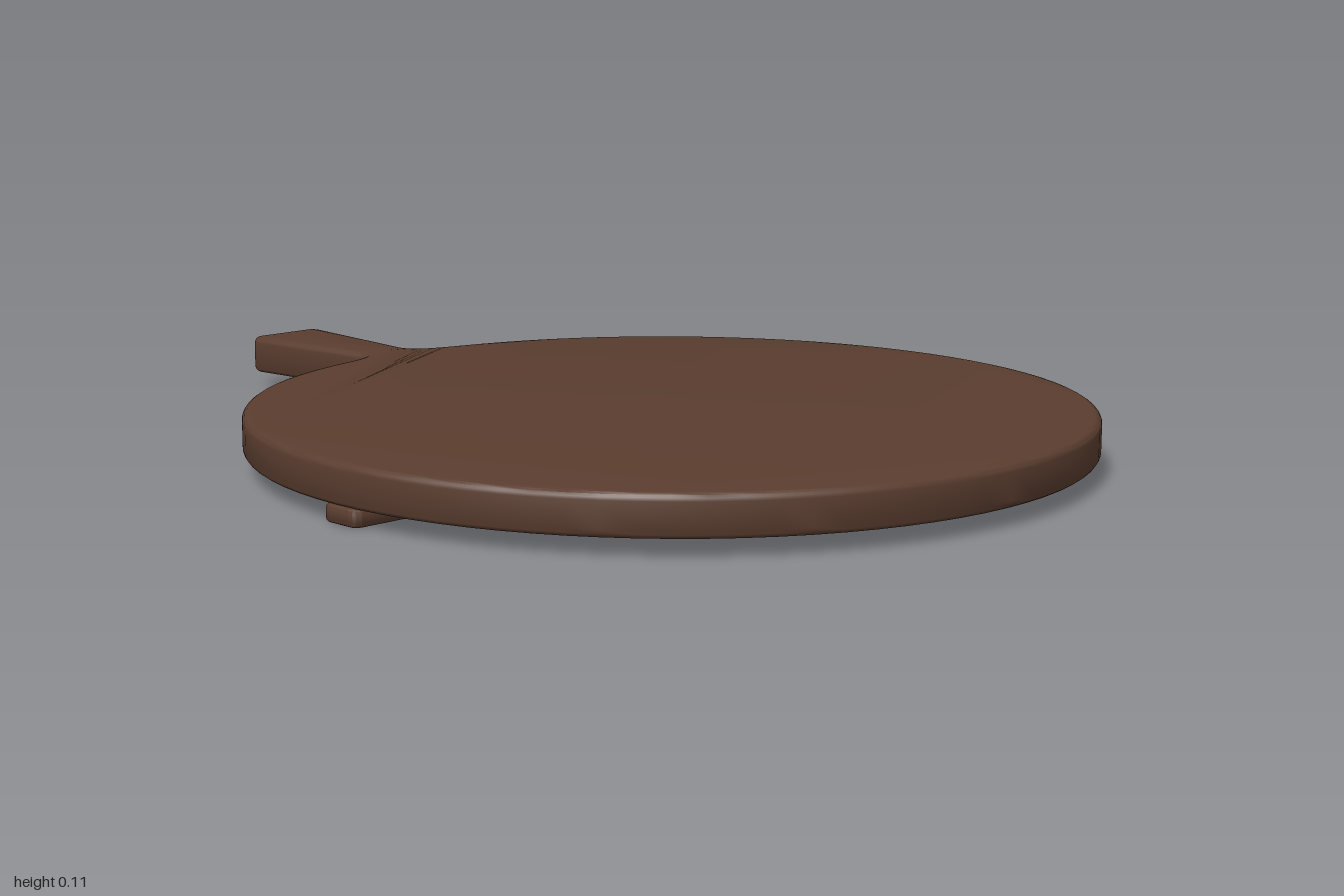
import * as THREE from 'three';
import { toCreasedNormals } from 'three/addons/utils/BufferGeometryUtils.js';

const wood = new THREE.MeshStandardMaterial({ color: 0x5a3d2f });
wood.name = 'dark wood';

// Lay a rounded-edge slab flat, with its outline drawn as (x, -z)
function slab(name, shape, bottom, top, bevel) {
  const geo = new THREE.ExtrudeGeometry(shape, {
    depth: top - bottom - 2 * bevel,
    bevelEnabled: true,
    bevelThickness: bevel,
    bevelSize: bevel,
    bevelOffset: -bevel,
    bevelSegments: 4,
    curveSegments: 40,
  });
  geo.rotateX(-Math.PI / 2);
  geo.translate(0, bottom + bevel, 0);
  const mesh = new THREE.Mesh(toCreasedNormals(geo, 0.7), wood);
  mesh.name = name;
  return mesh;
}

// Round board running into a flared handle at the back
function boardShape() {
  const r = 0.805, cy = -0.195;
  const jx = 0.2, a = Math.acos(jx / r), jy = cy + r * Math.sin(a);
  const s = new THREE.Shape();
  s.moveTo(-jx, jy);
  s.absarc(0, cy, r, Math.PI - a, 2 * Math.PI + a, false);
  s.bezierCurveTo(0.12, 0.606, 0.052, 0.612, 0.059, 0.665);
  s.lineTo(0.088, 0.97);
  s.quadraticCurveTo(0.089, 1, 0.06, 1);
  s.lineTo(-0.06, 1);
  s.quadraticCurveTo(-0.089, 1, -0.088, 0.97);
  s.lineTo(-0.059, 0.665);
  s.bezierCurveTo(-0.052, 0.612, -0.12, 0.606, -jx, jy);
  return s;
}

// Straight strip with softened corners
function battenShape() {
  const w = 0.805, h = 0.045, c = -0.195, k = 0.02;
  const s = new THREE.Shape();
  s.moveTo(-w + k, c - h);
  s.lineTo(w - k, c - h);
  s.quadraticCurveTo(w, c - h, w, c - h + k);
  s.lineTo(w, c + h - k);
  s.quadraticCurveTo(w, c + h, w - k, c + h);
  s.lineTo(-w + k, c + h);
  s.quadraticCurveTo(-w, c + h, -w, c + h - k);
  s.lineTo(-w, c - h + k);
  s.quadraticCurveTo(-w, c - h, -w + k, c - h);
  return s;
}

export function createModel() {
  const group = new THREE.Group();
  group.name = 'roundBoard';
  group.add(slab('boardWithHandle', boardShape(), 0.032, 0.11, 0.014));
  group.add(slab('undersideBatten', battenShape(), 0, 0.034, 0.009));
  return group;
}
